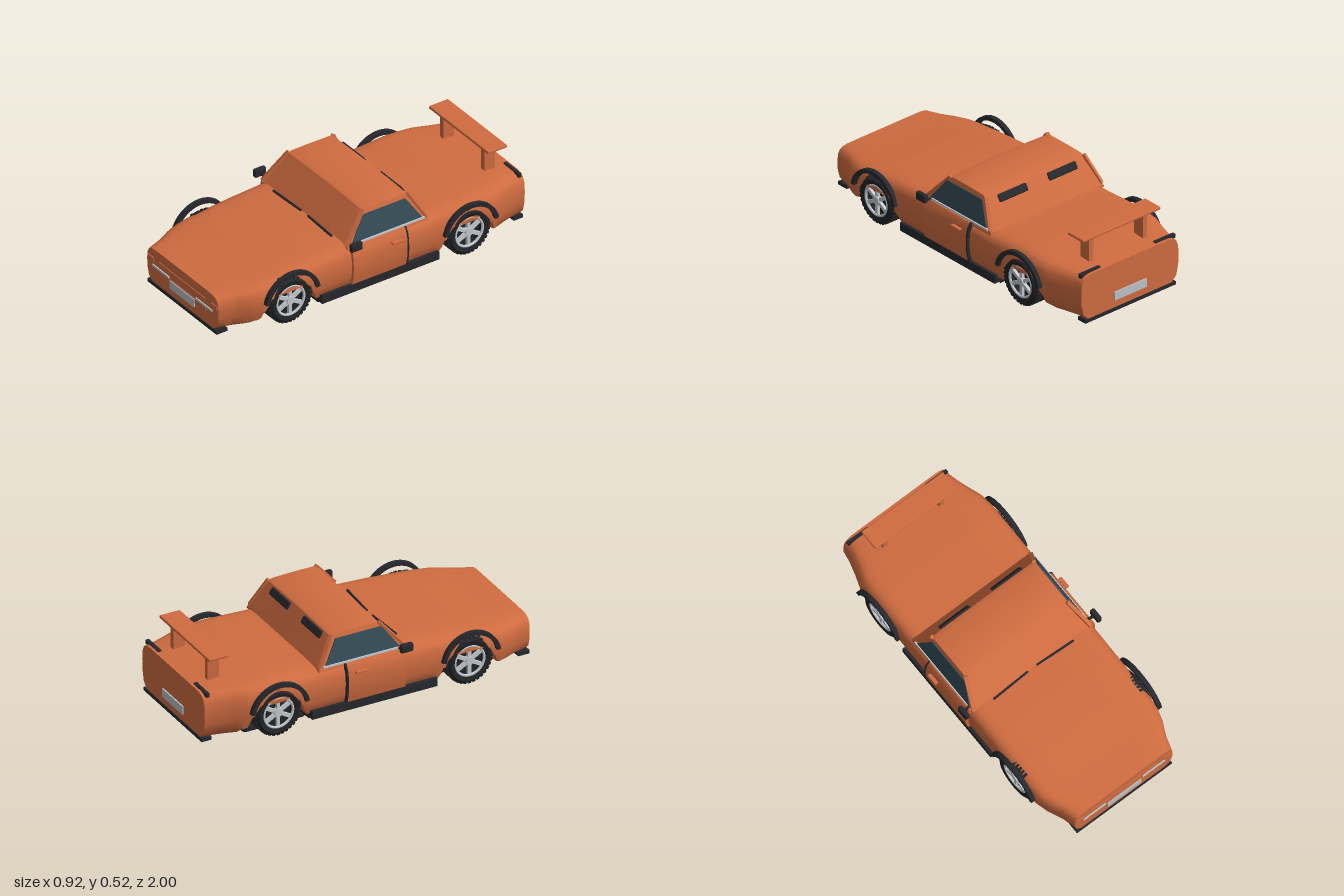
import * as THREE from 'three';
import { toCreasedNormals } from 'three/addons/utils/BufferGeometryUtils.js';
import { RoundedBoxGeometry } from 'three/addons/geometries/RoundedBoxGeometry.js';

const mat = (name, color, double) => {
  const m = new THREE.MeshStandardMaterial({ color });
  m.name = name;
  if (double) m.side = THREE.DoubleSide;
  return m;
};

// piecewise linear lookup in [[key, value], ...] with rising keys
function lerpTable(t, k) {
  if (k <= t[0][0]) return t[0][1];
  for (let i = 1; i < t.length; i++) {
    if (k <= t[i][0]) {
      const [a, b] = [t[i - 1], t[i]];
      return a[1] + (b[1] - a[1]) * (k - a[0]) / (b[0] - a[0]);
    }
  }
  return t[t.length - 1][1];
}

// skin over counter-clockwise rings running from front to back, with capped ends
function loft(rings, crease) {
  const n = rings[0].length, pos = rings.flat(2), idx = [];
  for (let i = 0; i < rings.length - 1; i++) {
    for (let j = 0; j < n; j++) {
      const a = i * n + j, c = i * n + (j + 1) % n;
      idx.push(a, a + n, c, c, a + n, c + n);
    }
  }
  [0, rings.length - 1].forEach((r, end) => {
    const ring = rings[r], mid = [0, 1, 2].map(k => ring.reduce((s, p) => s + p[k], 0) / n);
    const m = pos.length / 3;
    pos.push(...mid);
    for (let j = 0; j < n; j++) {
      const a = r * n + j, b = r * n + (j + 1) % n;
      idx.push(m, end ? b : a, end ? a : b);
    }
  });
  const g = new THREE.BufferGeometry();
  g.setAttribute('position', new THREE.Float32BufferAttribute(pos, 3));
  g.setIndex(idx);
  return toCreasedNormals(g, crease);
}

const mirrorRing = half => [...half, ...half.slice(1, -1).reverse().map(([x, y, z]) => [-x, y, z])];
const shapeOf = pts => new THREE.Shape(pts.map(p => new THREE.Vector2(...p)));

const WHEEL_Z = 0.58, WHEEL_Y = 0.165;
const WIDTH = [[-0.99, 0.345], [-0.93, 0.355], [-0.85, 0.378], [-0.76, 0.41], [-0.68, 0.42], [0.68, 0.42],
  [0.76, 0.413], [0.82, 0.395], [0.9, 0.357], [0.95, 0.342], [0.99, 0.33]];
const TOP = [[-0.99, 0.338], [-0.8, 0.35], [-0.6, 0.358], [-0.35, 0.345], [0.2, 0.352], [0.4, 0.34], [0.6, 0.322], [0.8, 0.298], [0.99, 0.28]];
const ARCH = [[0.1, 0.225], [0.13, 0.205], [0.155, 0.14], [0.2, 0.07]];
// half section from bottom centre to top centre, as fractions of width and height
const SECTION = [[0, 0], [0.69, 0], [0.7, 0], [0.86, 0], [0.95, 0.12], [0.99, 0.35], [1, 0.6], [0.985, 0.8], [0.95, 0.91], [0.89, 0.97], [0.8, 0.995], [0.5, 1], [0, 1]];
const cabinHalf = y => 0.4 - (y - 0.34) * 0.32;

function bodyGeometry() {
  const rings = [];
  for (let i = 0; i <= 110; i++) {
    const z = 0.99 - 1.98 * i / 110;
    const w = lerpTable(WIDTH, z), t = lerpTable(TOP, z), lift = lerpTable(ARCH, Math.abs(Math.abs(z) - WHEEL_Z));
    rings.push(mirrorRing(SECTION.map(([fx, fy]) => {
      const y = 0.07 + fy * (t - 0.07);
      return [fx * w, fx >= 0.7 ? Math.max(y, lift) : y, z];
    })));
  }
  return loft(rings, 0.6);
}

function cabinGeometry() {
  const profile = [[0.2, 0.345], [0.065, 0.505], [0.04, 0.513], [-0.06, 0.514], [-0.2, 0.511], [-0.228, 0.5], [-0.325, 0.345]];
  return loft(profile.map(([z, y]) => {
    const h = cabinHalf(y), crown = 0.007 * (y - 0.345) / 0.165;
    return mirrorRing([[0, 0.33, z], [cabinHalf(0.33), 0.33, z], [h, y - 0.003, z], [h - 0.02, y, z], [h * 0.6, y + crown * 0.7, z], [0, y + crown, z]]);
  }), 0.5);
}

export function createModel() {
  const model = new THREE.Group();
  model.name = 'car';
  const paint = mat('orange paint', 0xd06c40), black = mat('black trim', 0x27282d), floorMat = mat('dark floor', 0x1c1c1f);
  const glass = mat('tinted glass', 0x344a55, true), tyreMat = mat('tyre rubber', 0x222326);
  const metal = mat('rim metal', 0xc6cbd0), plateMat = mat('pale plate', 0xbcc2c8);

  const add = (parent, name, geo, m, x = 0, y = 0, z = 0) => {
    const mesh = new THREE.Mesh(geo, m);
    mesh.name = name;
    mesh.position.set(x, y, z);
    parent.add(mesh);
    return mesh;
  };
  const box = (parent, name, m, w, h, d, x, y, z) => add(parent, name, new THREE.BoxGeometry(w, h, d), m, x, y, z);
  const bar = (parent, name, m, a, b, w, d) => {
    const p = new THREE.Vector3(...a), q = new THREE.Vector3(...b);
    const mesh = box(parent, name, m, w, d, p.distanceTo(q), 0, 0, 0);
    mesh.position.copy(p).add(q).multiplyScalar(0.5);
    mesh.lookAt(q);
    return mesh;
  };

  // shell and cabin
  add(model, 'body', bodyGeometry(), paint);
  add(model, 'cabin', cabinGeometry(), paint);

  // underside
  box(model, 'floor', floorMat, 0.58, 0.012, 1.63, 0, 0.064, -0.015);
  box(model, 'middleFloor', floorMat, 0.76, 0.012, 0.76, 0, 0.065, 0);
  add(model, 'silencer', new RoundedBoxGeometry(0.3, 0.05, 0.38, 3, 0.018), black, -0.13, 0.03, -0.53);
  for (const x of [-0.195, 0.19]) {
    bar(model, 'exhaustPipe', black, [x, 0.025, 0.48], [x, 0.03, -0.94], 0.024, 0.024);
    bar(model, 'exhaustHanger', black, [x, 0.025, 0.4], [x - Math.sign(x) * -0.02, 0.06, 0.4], 0.05, 0.012);
  }

  // nose and tail
  box(model, 'frontSplitter', black, 0.64, 0.02, 0.07, 0, 0.06, 0.96);
  box(model, 'rearSplitter', black, 0.64, 0.02, 0.06, 0, 0.06, -0.965);
  box(model, 'frontPlate', plateMat, 0.226, 0.05, 0.008, 0, 0.14, 0.994);
  box(model, 'rearPlate', plateMat, 0.226, 0.05, 0.008, 0, 0.14, -0.994);
  box(model, 'grillePanel', paint, 0.43, 0.03, 0.004, 0, 0.155, 0.991);
  box(model, 'noseSeam', paint, 0.43, 0.004, 0.006, 0, 0.221, 0.991);

  // rear wing
  add(model, 'wingBlade', new RoundedBoxGeometry(0.55, 0.018, 0.125, 2, 0.006), paint, 0, 0.504, -0.863);

  // wheel, outer face toward +x
  const makeWheel = () => {
    const wheel = new THREE.Group();
    wheel.name = 'wheel';
    const profile = [[0.092, 0.06], [0.118, 0.067], [0.131, 0.056], [0.134, 0.03], [0.134, -0.03], [0.131, -0.056], [0.118, -0.067], [0.092, -0.06], [0.088, 0], [0.092, 0.06]];
    const tyre = new THREE.LatheGeometry(profile.map(p => new THREE.Vector2(...p)).reverse(), 40);
    add(wheel, 'tyre', toCreasedNormals(tyre.rotateZ(-Math.PI / 2), 0.6), tyreMat);
    for (let i = 0; i < 32; i++) {
      const a = i * Math.PI / 16;
      for (const s of [-1, 1]) {
        const b = a + (s > 0 ? 0 : 0.1);
        box(wheel, 'treadBlock', tyreMat, 0.048, 0.008, 0.016, s * 0.032, Math.cos(b) * 0.134, Math.sin(b) * 0.134).rotation.x = b;
      }
    }
    add(wheel, 'rimBack', new THREE.CylinderGeometry(0.091, 0.091, 0.02, 32).rotateZ(Math.PI / 2), tyreMat, 0.01);
    add(wheel, 'rimRing', new THREE.TorusGeometry(0.088, 0.008, 8, 36).rotateY(Math.PI / 2), metal, 0.055);
    for (let i = 0; i < 6; i++) {
      const a = i * Math.PI / 3;
      box(wheel, 'spoke', metal, 0.018, 0.085, 0.02, 0.048, Math.cos(a) * 0.045, Math.sin(a) * 0.045).rotation.x = a;
    }
    add(wheel, 'hub', new THREE.CylinderGeometry(0.024, 0.028, 0.025, 20).rotateZ(-Math.PI / 2), metal, 0.05);
    return wheel;
  };

  // everything on the left side, mirrored to the right
  const side = new THREE.Group();
  side.name = 'leftSide';
  const skin = [[0.42, 0.115], [0.432, 0.17], [0.436, 0.22], [0.434, 0.28], [0.425, 0.32], [0.408, 0.348], [0.38, 0.348], [0.38, 0.115]];
  const doorGeo = d => new THREE.ExtrudeGeometry(shapeOf(skin), { depth: d, bevelEnabled: false });
  add(side, 'door', toCreasedNormals(doorGeo(0.35), 0.6), paint, 0, 0, -0.165);
  add(side, 'doorGap', doorGeo(0.01), black, 0.001, 0, -0.175);
  add(side, 'doorHandle', new RoundedBoxGeometry(0.022, 0.012, 0.07, 2, 0.004), paint, 0.442, 0.3, -0.093);
  box(side, 'sideSkirt', black, 0.06, 0.05, 0.76, 0.392, 0.094, 0);

  // window plate leaning with the cabin side
  const pane = new THREE.ExtrudeGeometry(shapeOf([[-0.165, 0.362], [-0.075, 0.486], [0.205, 0.486], [0.285, 0.362]]), { depth: 0.006, bevelEnabled: false });
  pane.rotateY(Math.PI / 2);
  const p = pane.attributes.position;
  for (let i = 0; i < p.count; i++) p.setX(i, p.getX(i) + cabinHalf(p.getY(i)));
  pane.computeVertexNormals();
  add(side, 'sideWindow', pane, glass);
  bar(side, 'windowSill', metal, [0.398, 0.355, 0.15], [0.398, 0.355, -0.3], 0.012, 0.01);
  bar(side, 'frontPillar', paint, [0.393, 0.352, 0.2], [0.343, 0.511, 0.062], 0.022, 0.016);
  bar(side, 'rearPillar', paint, [0.393, 0.352, -0.315], [0.345, 0.506, -0.225], 0.022, 0.016);

  add(side, 'mirror', new RoundedBoxGeometry(0.03, 0.05, 0.075, 2, 0.01), black, 0.446, 0.371, 0.178);
  bar(side, 'mirrorArm', black, [0.44, 0.36, 0.17], [0.395, 0.345, 0.16], 0.014, 0.012);

  // wheels and arch flares
  const a0 = 0.2, a1 = Math.PI - 0.2;
  const flare = new THREE.Shape().absarc(0, 0, 0.18, a0, a1, false).absarc(0, 0, 0.157, a1, a0, true);
  const flareGeo = toCreasedNormals(new THREE.ExtrudeGeometry(flare, { depth: 0.026, bevelEnabled: false, curveSegments: 24 }).rotateY(Math.PI / 2), 0.6);
  for (const z of [WHEEL_Z, -WHEEL_Z]) {
    const wheel = makeWheel();
    wheel.position.set(0.357, WHEEL_Y, z);
    side.add(wheel);
    add(side, 'archFlare', flareGeo, black, 0.415, 0.17, z);
  }
  // fender vent slats
  for (let i = 0; i < 5; i++) {
    box(side, 'fenderVent', black, 0.05, 0.022, 0.014, 0.398, 0.292 + i * -0.001, 0.55 + i * 0.022).rotation.z = -0.5;
  }
  // lamps, wing post, wiper and rear screen pad
  box(side, 'headlight', paint, 0.055, 0.025, 0.008, 0.292, 0.213, 0.991);
  box(side, 'indicatorStrip', plateMat, 0.15, 0.012, 0.008, 0.2, 0.177, 0.993);
  box(side, 'tailLamp', black, 0.14, 0.024, 0.02, 0.265, 0.334, -0.965);
  box(side, 'wingPost', paint, 0.03, 0.155, 0.07, 0.19, 0.42, -0.86);
  bar(side, 'wiper', black, [0.03, 0.354, 0.2], [0.27, 0.358, 0.212], 0.01, 0.01);
  add(side, 'rearScreenPad', new RoundedBoxGeometry(0.2, 0.018, 0.045, 2, 0.008), black, 0.175, 0.478, -0.246).rotation.x = -1.02;
  model.add(side);

  const other = side.clone();
  other.name = 'rightSide';
  other.scale.x = -1;
  model.add(other);
  return model;
}
